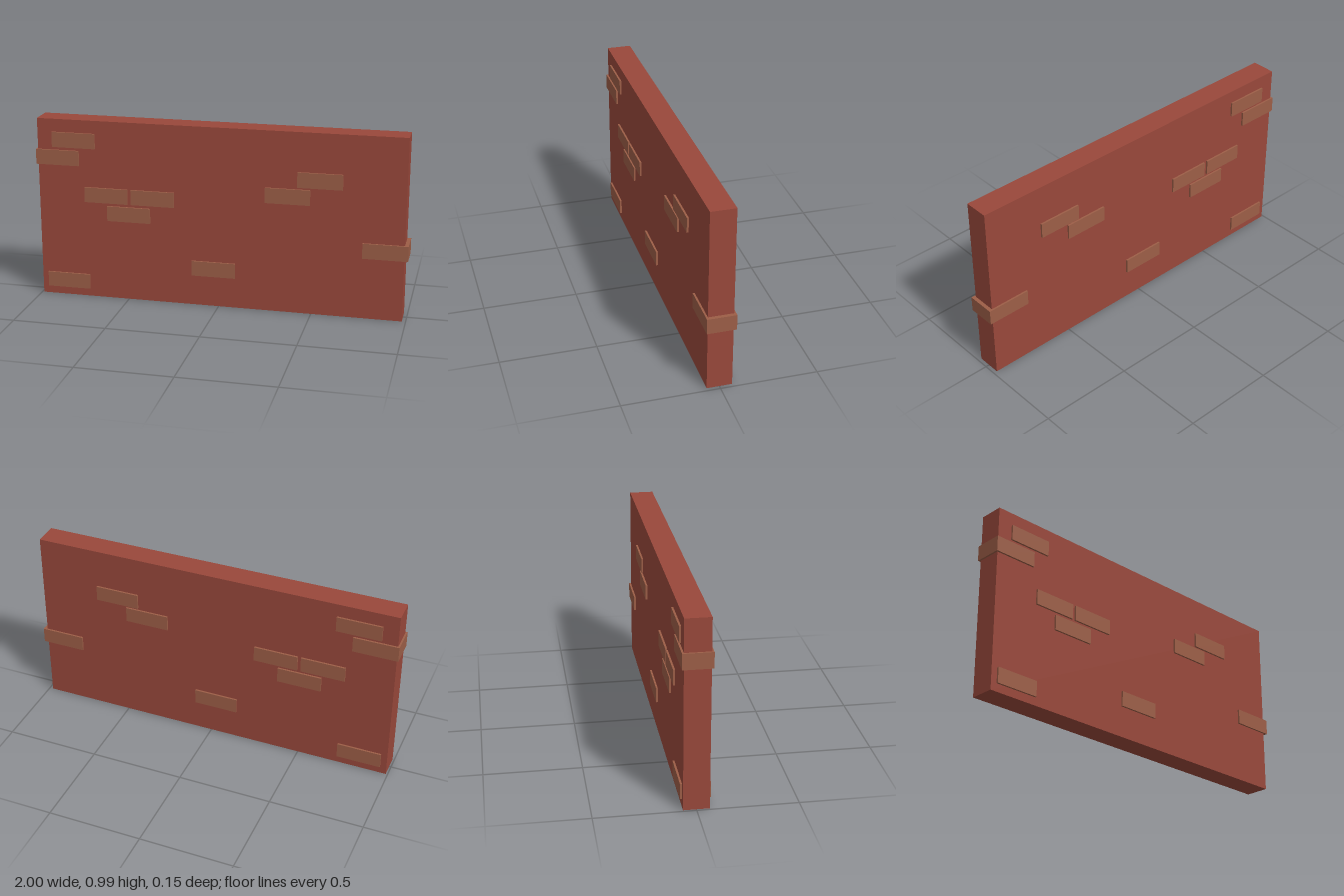
import * as THREE from 'three';

export function createModel() {
  const model = new THREE.Group();
  model.name = 'brickWall';

  const wallMaterial = new THREE.MeshStandardMaterial({ color: 0x99483b });
  const brickMaterial = new THREE.MeshStandardMaterial({ color: 0x9c5e47 });

  // Plain wall slab
  const slab = new THREE.Mesh(new THREE.BoxGeometry(1.97, 0.985, 0.13), wallMaterial);
  slab.name = 'wallSlab';
  slab.position.set(-0.005, 0.4925, 0);
  model.add(slab);

  // Exposed bricks run through the slab and stand proud on both faces
  const brickGeometry = new THREE.BoxGeometry(0.237, 0.082, 0.15);
  const brickCentres = [
    [-0.79, 0.874], [-0.881, 0.776],
    [-0.616, 0.579], [-0.36, 0.579], [-0.492, 0.481],
    [0.366, 0.64], [0.535, 0.733],
    [0.881, 0.374], [-0.028, 0.208], [-0.838, 0.084],
  ];
  const bricks = new THREE.Group();
  bricks.name = 'exposedBricks';
  brickCentres.forEach(([x, y], i) => {
    const brick = new THREE.Mesh(brickGeometry, brickMaterial);
    brick.name = `brick${i + 1}`;
    brick.position.set(x, y, 0);
    bricks.add(brick);
  });
  model.add(bricks);

  return model;
}
